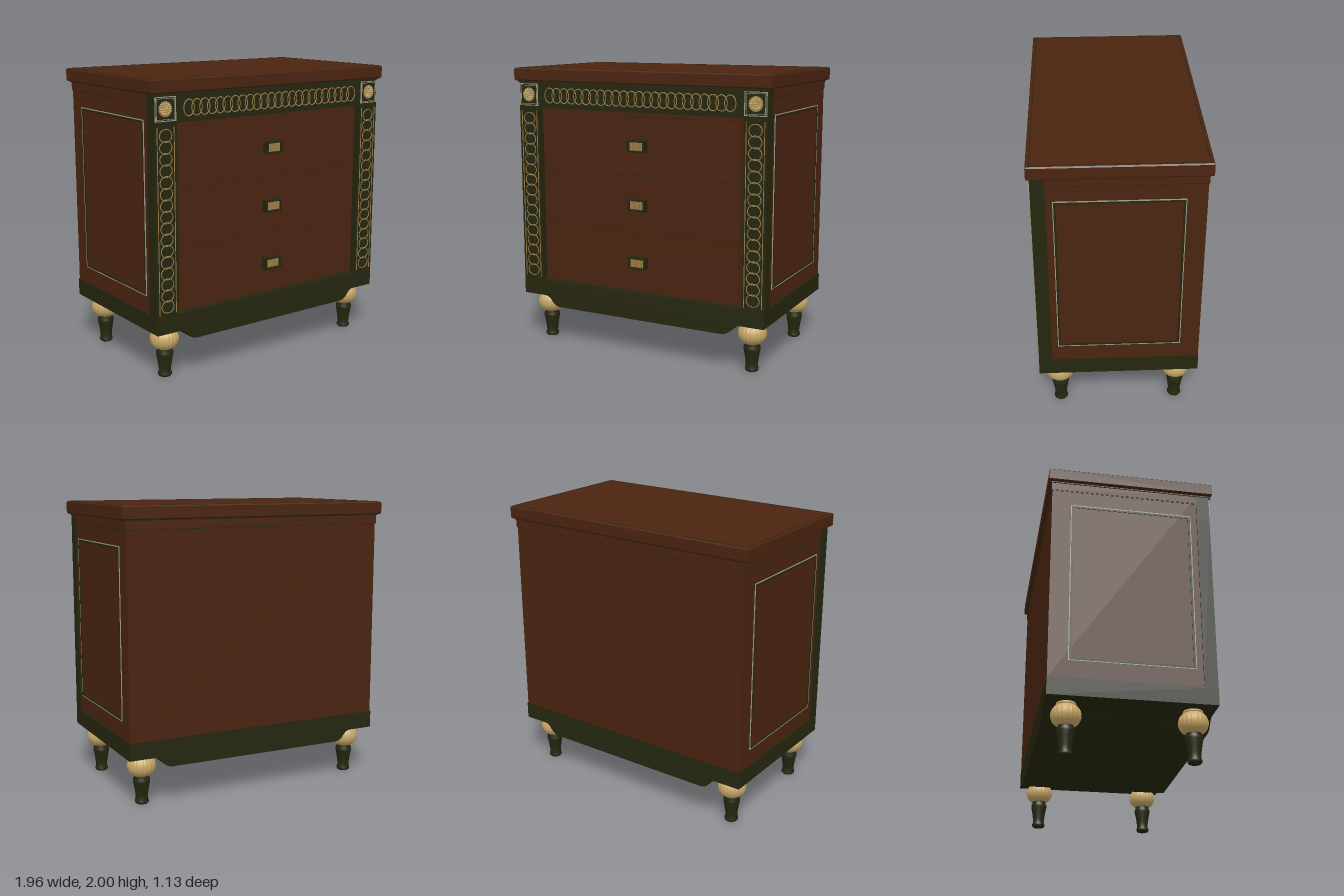
import * as THREE from 'three';

const mat = (name, color, side = THREE.FrontSide) => {
  const m = new THREE.MeshStandardMaterial({ color, side });
  m.name = name;
  return m;
};

export function createModel() {
  const root = new THREE.Group();
  root.name = 'chestOfDrawers';
  const wood = mat('mahogany', 0x4a2410);
  const green = mat('darkGreen', 0x25260f);
  const gold = mat('paleGold', 0xc8a868);
  const brass = mat('antiqueBrass', 0xa08048);
  const silver = mat('silverTrim', 0x9c9a88);

  const add = (parent, name, geo, material, x = 0, y = 0, z = 0) => {
    const m = new THREE.Mesh(geo, material);
    m.name = name;
    m.position.set(x, y, z);
    parent.add(m);
    return m;
  };
  // box given by its limits
  const box = (parent, name, material, x0, x1, y0, y1, z0, z1) =>
    add(parent, name, new THREE.BoxGeometry(x1 - x0, y1 - y0, z1 - z0), material,
      (x0 + x1) / 2, (y0 + y1) / 2, (z0 + z1) / 2);
  // flat rectangular frame in the xy plane, extruded towards +z
  const frameGeo = (w, h, t, d) => {
    const rect = (P, a, b) => {
      const p = new P();
      p.moveTo(-a, -b);
      p.lineTo(a, -b);
      p.lineTo(a, b);
      p.lineTo(-a, b);
      p.closePath();
      return p;
    };
    const s = rect(THREE.Shape, w / 2, h / 2);
    s.holes.push(rect(THREE.Path, w / 2 - t, h / 2 - t));
    return new THREE.ExtrudeGeometry(s, { depth: d, bevelEnabled: false });
  };

  // carcass
  box(root, 'carcass', wood, -0.945, 0.945, 0.46, 1.91, -0.54, 0.46);
  box(root, 'cornice', wood, -0.951, 0.951, 1.848, 1.908, -0.545, 0.455);
  box(root, 'corniceShadowLine', green, -0.948, 0.948, 1.842, 1.848, -0.542, 0.455);

  // table top with small chamfers and an inlaid line
  const slab = new THREE.Shape();
  slab.moveTo(-0.972, -0.557);
  slab.lineTo(0.972, -0.557);
  slab.lineTo(0.972, 0.557);
  slab.lineTo(-0.972, 0.557);
  slab.closePath();
  const slabGeo = new THREE.ExtrudeGeometry(slab, {
    depth: 0.074, bevelThickness: 0.008, bevelSize: 0.008, bevelSegments: 1,
  });
  add(root, 'top', slabGeo, wood, 0, 1.917, 0).rotation.x = -Math.PI / 2;
  add(root, 'topInlay', frameGeo(1.924, 1.09, 0.006, 0.002), green, 0, 1.9985, 0).rotation.x = -Math.PI / 2;
  box(root, 'topUnderMoulding', green, -0.958, 0.958, 1.902, 1.911, -0.55, 0.555);

  // plinth with a shaped apron, running the full depth
  const plinth = new THREE.Shape();
  plinth.moveTo(-0.952, 0.465);
  plinth.lineTo(-0.952, 0.345);
  plinth.lineTo(-0.77, 0.345);
  plinth.bezierCurveTo(-0.71, 0.34, -0.72, 0.272, -0.645, 0.27);
  plinth.lineTo(0.645, 0.27);
  plinth.bezierCurveTo(0.72, 0.272, 0.71, 0.34, 0.77, 0.345);
  plinth.lineTo(0.952, 0.345);
  plinth.lineTo(0.952, 0.465);
  plinth.closePath();
  add(root, 'plinth', new THREE.ExtrudeGeometry(plinth, { depth: 1.088, bevelEnabled: false, curveSegments: 10 }),
    green, 0, 0, -0.542);

  // front frame
  box(root, 'topRail', green, -0.952, 0.952, 1.72, 1.905, 0.455, 0.545);
  const ringGeo = (rx, ry) => new THREE.TorusGeometry(1, 0.075, 5, 28).scale(rx, ry, 0.05);
  const railRing = ringGeo(0.04, 0.052);
  const columnRing = ringGeo(0.046, 0.041);
  const rings = new THREE.Group();
  rings.name = 'railRings';
  root.add(rings);
  for (let i = 0; i < 24; i++) add(rings, 'railRing', railRing, brass, -0.693 + i * 0.0603, 1.81, 0.546);

  const petalGeo = new THREE.SphereGeometry(1, 8, 6);
  for (const s of [-1, 1]) {
    const column = new THREE.Group();
    column.name = s > 0 ? 'leftColumn' : 'rightColumn';
    root.add(column);
    const cx = s * 0.87;
    box(column, 'post', green, cx - 0.082, cx + 0.082, 0.46, 1.72, 0.455, 0.545);
    for (const dx of [-0.063, 0.063]) {
      box(column, 'bead', brass, cx + dx - 0.002, cx + dx + 0.002, 0.48, 1.7, 0.545, 0.549);
    }
    for (let i = 0; i < 16; i++) add(column, 'columnRing', columnRing, brass, cx, 0.53 + i * 0.0743, 0.546);

    // corner block with a rosette
    const block = new THREE.Group();
    block.name = 'cornerBlock';
    block.position.set(cx, 1.812, 0.545);
    column.add(block);
    add(block, 'blockFrame', frameGeo(0.155, 0.155, 0.005, 0.006), silver);
    add(block, 'blockInnerFrame', frameGeo(0.134, 0.134, 0.003, 0.004), silver);
    add(block, 'rosetteRim', new THREE.TorusGeometry(0.046, 0.004, 6, 28), brass, 0, 0, 0.002);
    add(block, 'rosetteDisc', new THREE.CylinderGeometry(0.043, 0.045, 0.006, 28), brass, 0, 0, 0.003).rotation.x = Math.PI / 2;
    for (const [count, r, size] of [[14, 0.033, 0.011], [8, 0.017, 0.009]]) {
      for (let i = 0; i < count; i++) {
        const a = (i / count) * Math.PI * 2;
        const p = add(block, 'petal', petalGeo, gold, Math.cos(a) * r, Math.sin(a) * r, 0.006);
        p.scale.set(size, size * 0.55, 0.007);
        p.rotation.z = a;
      }
    }
    add(block, 'rosetteBoss', petalGeo, gold, 0, 0, 0.007).scale.set(0.009, 0.009, 0.009);

    // framed side panel
    const panel = new THREE.Group();
    panel.name = s > 0 ? 'leftSidePanel' : 'rightSidePanel';
    panel.position.set(s * 0.945, 1.16, 0);
    panel.rotation.y = s * Math.PI / 2;
    root.add(panel);
    add(panel, 'panelTrim', frameGeo(0.824, 1.154, 0.006, 0.005), silver);
    add(panel, 'panelMoulding', frameGeo(0.812, 1.142, 0.014, 0.004), green);
  }

  // drawers with reeded handles
  box(root, 'drawerSurround', wood, -0.79, 0.79, 0.46, 1.722, 0.45, 0.495);
  box(root, 'drawerGapBacking', green, -0.755, 0.755, 0.525, 1.69, 0.494, 0.4965);
  const drawers = [[1.288, 1.687, 1.49], [0.886, 1.281, 1.085], [0.525, 0.878, 0.677]];
  for (const [y0, y1, hy] of drawers) {
    const drawer = new THREE.Group();
    drawer.name = 'drawer';
    root.add(drawer);
    box(drawer, 'drawerFront', wood, -0.752, 0.752, y0, y1, 0.49, 0.505);
    box(drawer, 'handlePlate', green, -0.068, 0.068, hy - 0.042, hy + 0.042, 0.5, 0.535);
    add(drawer, 'handleFrame', frameGeo(0.136, 0.084, 0.012, 0.02), green, 0, hy, 0.535);
    for (let i = 0; i < 8; i++) {
      add(drawer, 'handleReed', new THREE.CapsuleGeometry(0.0045, 0.05, 3, 8), brass, -0.0455 + i * 0.013, hy, 0.541)
        .scale.z = 2;
    }
  }

  // turned legs: ribbed ball over a tapered foot
  const lathe = (pts, n) => new THREE.LatheGeometry(pts.map(([r, y]) => new THREE.Vector2(r, y)), n);
  const ballPts = [[0.045, 0.192]];
  for (let i = 0; i <= 12; i++) {
    const a = -1.05 + (i / 12) * 2.1;
    ballPts.push([0.098 * Math.pow(Math.cos(a), 0.8), 0.265 + 0.078 * Math.sin(a)]);
  }
  const ballGeo = lathe(ballPts, 80);
  const pos = ballGeo.attributes.position;
  for (let i = 0; i < pos.count; i++) {
    const x = pos.getX(i), z = pos.getZ(i);
    const k = 0.95 + 0.05 * Math.abs(Math.cos(Math.atan2(x, z) * 10));
    pos.setXYZ(i, x * k, pos.getY(i), z * k);
  }
  ballGeo.computeVertexNormals();
  const collarGeo = lathe([[0.05, 0.322], [0.064, 0.328], [0.066, 0.338], [0.062, 0.348], [0, 0.348]], 28);
  const footGeo = lathe([[0, 0], [0.04, 0], [0.047, 0.008], [0.047, 0.02], [0.041, 0.034], [0.042, 0.06],
    [0.05, 0.115], [0.058, 0.155], [0.058, 0.17], [0.05, 0.184], [0.052, 0.2], [0, 0.21]], 28);
  for (const x of [-0.815, 0.815]) {
    for (const z of [-0.402, 0.408]) {
      const leg = new THREE.Group();
      leg.name = z > 0 ? 'frontLeg' : 'backLeg';
      leg.position.set(x, 0, z);
      root.add(leg);
      add(leg, 'legBall', ballGeo, gold);
      add(leg, 'legCollar', collarGeo, gold);
      add(leg, 'legFoot', footGeo, green);
    }
  }
  return root;
}
